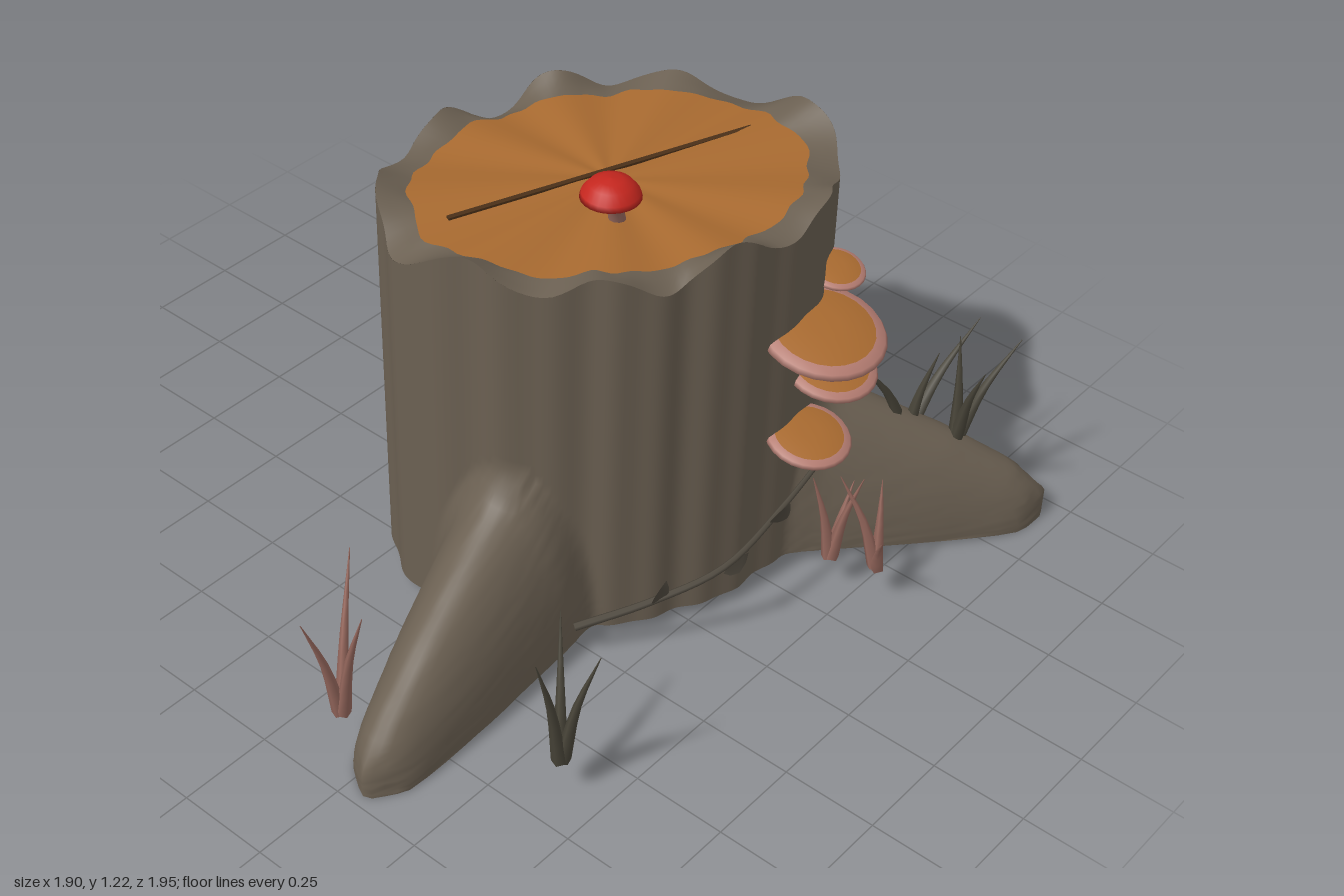
import * as THREE from 'three';

const mat = (name, color, side = THREE.DoubleSide) => {
  const m = new THREE.MeshStandardMaterial({ color, side });
  m.name = name;
  return m;
};
const V = (x, y, z) => new THREE.Vector3(x, y, z);
const clamp = THREE.MathUtils.clamp, lerp = THREE.MathUtils.lerp;

// Trunk is a tilted ellipse around (CX, CZ)
const CX = 0.08, CZ = -0.16, TILT = -1.107, MAJOR = 0.575, MINOR = 0.44;
const roots = [[0.31, 0.97], [-0.95, -0.47], [0.94, -0.95]].map(([x, z]) => ({
  angle: Math.atan2(z - CZ, x - CX), length: Math.hypot(x - CX, z - CZ),
}));

function trunkRadius(a) {
  const c = Math.cos(a - TILT) / MAJOR, s = Math.sin(a - TILT) / MINOR;
  return 1 / Math.hypot(c, s) + 0.006 * Math.sin(a * 11) + 0.004 * Math.sin(a * 23 + 1);
}

// piecewise-linear lookup
function profile(points, t) {
  for (let i = 1; i < points.length; i++) {
    const [t0, a] = points[i - 1], [t1, b] = points[i];
    if (t <= t1) return lerp(a, b, clamp((t - t0) / (t1 - t0), 0, 1));
  }
  return points[points.length - 1][1];
}
const HEIGHT = [[0, 0.53], [0.12, 0.45], [0.6, 0.28], [0.86, 0.17], [1, 0.08]];
const WIDTH = [[0, 0.19], [0.5, 0.14], [0.8, 0.1], [0.9, 0.08], [1, 0.015]];

// How far a root reaches along a ray at height y
function rootReach(root, a, y) {
  const d = Math.atan2(Math.sin(a - root.angle), Math.cos(a - root.angle));
  if (Math.abs(d) > 0.8) return 0;
  for (let r = root.length + 0.02; r > 0.3; r -= 0.004) {
    const s = r * Math.cos(d);
    if (s > root.length) continue;
    const t = (s - 0.5) / (root.length - 0.5), k = y / profile(HEIGHT, t);
    if (k < 1 && Math.abs(r * Math.sin(d)) < profile(WIDTH, t) * Math.sqrt(1 - k * k)) return r;
  }
  return 0;
}

function barkRadius(a, y) {
  let r = trunkRadius(a);
  if (y > 0.6) return r;
  for (const root of roots) {
    const q = rootReach(root, a, y), h = Math.max(0.06 - Math.abs(r - q), 0) / 0.06;
    r = Math.max(r, q) + h * h * 0.015;
  }
  return r;
}
const rimHeight = (a) => 1.08 + 0.035 * Math.sin(9 * a) + 0.016 * Math.sin(5 * a + 1);
const woodHeight = (a, t) => 1.075 + 0.008 * t * Math.sin(9 * a);

// Closed loops of points joined into a smooth surface
function ringSurface(n, rows, point) {
  const pos = [], idx = [];
  for (let j = 0; j <= rows; j++)
    for (let i = 0; i < n; i++) pos.push(...point((i / n) * Math.PI * 2, j / rows));
  for (let j = 0; j < rows; j++)
    for (let i = 0; i < n; i++) {
      const k = (i + 1) % n, a = j * n + i, b = j * n + k;
      idx.push(a, a + n, b, b, a + n, b + n);
    }
  const g = new THREE.BufferGeometry();
  g.setAttribute('position', new THREE.Float32BufferAttribute(pos, 3));
  g.setIndex(idx);
  g.computeVertexNormals();
  return g;
}
const polar = (a, r, y) => [CX + r * Math.cos(a), y, CZ + r * Math.sin(a)];

// Tube along a curve that thins from r0 to r1
function taperTube(points, r0, r1, segs = 6, sides = 5) {
  const curve = new THREE.CatmullRomCurve3(points);
  const g = new THREE.TubeGeometry(curve, segs, 1, sides, false);
  const p = g.attributes.position, v = V(0, 0, 0);
  for (let j = 0; j <= segs; j++) {
    const c = curve.getPointAt(j / segs), r = lerp(r0, r1, j / segs);
    for (let i = 0; i <= sides; i++) {
      const k = j * (sides + 1) + i;
      v.fromBufferAttribute(p, k).sub(c).multiplyScalar(r).add(c);
      p.setXYZ(k, v.x, v.y, v.z);
    }
  }
  return g;
}

export function createModel() {
  const model = new THREE.Group();
  const bark = mat('bark', 0x6b6052), wood = mat('cut wood', 0xa86a30);
  const pink = mat('fungus pink', 0xb57d72), red = mat('cap red', 0xc4261e);
  const dark = mat('dark grass', 0x4b473b), rosy = mat('rosy grass', 0x996a5f);
  const vineMat = mat('vine', 0x4f493f), crackMat = mat('crack', 0x4a3018);
  const add = (name, geo, material, parent = model) => {
    const m = new THREE.Mesh(geo, material);
    m.name = name;
    parent.add(m);
    return m;
  };

  // Hollow bark shell with three flaring roots
  add('barkAndRoots', ringSurface(320, 48, (a, v) => {
    const y = rimHeight(a) * Math.pow(v, 1.7), r = barkRadius(a, y);
    const lift = 0.04 * (1 - clamp((r - 0.5) / 0.6, 0, 1)) * Math.pow(1 - v, 5);
    return polar(a, r, y + lift);
  }), bark);
  const edge = (a) => 0.865 + 0.008 * Math.sin(a * 17) + 0.006 * Math.sin(a * 31);
  add('barkRim', ringSurface(160, 3, (a, v) =>
    polar(a, trunkRadius(a) * lerp(1, edge(a), v), lerp(rimHeight(a), woodHeight(a, 1), v))), bark);
  add('cutTop', ringSurface(160, 6, (a, v) =>
    polar(a, trunkRadius(a) * edge(a) * (1 - v), woodHeight(a, 1 - v))), wood);

  // Crack across the cut
  const crack = add('crack', new THREE.BoxGeometry(0.014, 0.006, 0.84), crackMat);
  crack.position.set(0.05, 1.077, -0.17);
  crack.rotation.y = -0.35;

  // Toadstool on the cut
  const toadstool = new THREE.Group();
  toadstool.name = 'toadstool';
  model.add(toadstool);
  add('stem', taperTube([V(0.2, 1.06, -0.045), V(0.205, 1.11, -0.03), V(0.215, 1.175, 0)],
    0.022, 0.016, 8, 10), rosy, toadstool);
  const capProfile = [[0.0, 0.008], [0.05, 0.006], [0.074, 0], [0.07, 0.014], [0.052, 0.036],
    [0.028, 0.047], [0, 0.05]].map(([x, y]) => new THREE.Vector2(x, y));
  add('cap', new THREE.LatheGeometry(capProfile, 24), red, toadstool).position.set(0.215, 1.165, 0);

  // Shelf fungi: pink bowl, wood-coloured top
  const bowl = [[0, -0.3], [0.5, -0.27], [0.85, -0.16], [1, 0], [0.95, 0.08], [0.8, 0.13]];
  const lid = [[0.8, 0.13], [0.55, 0.19], [0.25, 0.21], [0, 0.21]];
  const lathe = (pts) => new THREE.LatheGeometry(pts.map(([x, y]) => new THREE.Vector2(x, y)), 24);
  [[0.59, 0.755, -0.36, 0.16], [0.575, 0.6, -0.43, 0.12], [0.6, 0.46, -0.32, 0.11],
    [0.52, 0.835, -0.5, 0.075]].forEach(([x, y, z, r]) => {
    const shelf = new THREE.Group();
    shelf.name = 'shelfFungus';
    add('shelfBowl', lathe(bowl), pink, shelf);
    add('shelfTop', lathe(lid), wood, shelf);
    shelf.position.set(x, y, z);
    shelf.rotation.set(0.05, 0, -0.2);
    shelf.scale.set(r, r * 0.95, r);
    model.add(shelf);
  });

  // Grass clumps: base, then blade tips relative to it
  const clump = (material, [x, y, z], tips) => {
    const g = new THREE.Group();
    g.name = 'grassClump';
    tips.forEach(([dx, dy, dz]) => add('blade', taperTube([V(x + dx * 0.06, y, z + dz * 0.06),
      V(x + dx * 0.4, y + dy * 0.5, z + dz * 0.4), V(x + dx, y + dy, z + dz)], 0.02, 0.001), material, g));
    model.add(g);
  };
  clump(rosy, [0.15, 0.11, 0.88], [[-0.09, 0.37, -0.14], [0.11, 0.38, 0.02], [-0.01, 0.34, 0.1]]);
  clump(dark, [0.64, 0.11, 0.65], [[-0.1, 0.33, -0.11], [0.09, 0.36, -0.03], [0.02, 0.39, 0.11]]);
  clump(dark, [-0.53, 0.11, -0.14], [[-0.14, 0.47, -0.13], [0.05, 0.45, 0.2], [-0.04, 0.28, -0.06]]);
  clump(rosy, [0.69, 0.11, -0.33], [[-0.05, 0.25, 0.03], [0.06, 0.27, -0.03], [0, 0.2, -0.08]]);
  clump(rosy, [0.8, 0.11, -0.38], [[-0.1, 0.27, 0.05], [0.06, 0.16, 0.08], [-0.04, 0.23, -0.05]]);
  clump(dark, [0.65, 0.28, -0.7], [[-0.06, 0.28, 0.17], [0.02, 0.22, -0.27], [0.04, 0.24, -0.05]]);
  clump(dark, [0.75, 0.27, -0.78], [[0.09, 0.27, 0.05], [-0.04, 0.28, -0.03], [0.06, 0.24, -0.17]]);

  // Vines with folded leaves
  const leafGeo = () => {
    const s = new THREE.Shape();
    s.moveTo(0, 0);
    s.quadraticCurveTo(0.045, 0.03, 0, 0.085);
    s.quadraticCurveTo(-0.045, 0.03, 0, 0);
    const g = new THREE.ShapeGeometry(s, 6), p = g.attributes.position;
    for (let i = 0; i < p.count; i++) p.setZ(i, Math.abs(p.getX(i)) * 0.5);
    g.computeVertexNormals();
    return g;
  };
  const vine = (points, leaves) => {
    const g = new THREE.Group();
    g.name = 'vine';
    add('vineStem', taperTube(points.map((p) => V(...p)), 0.011, 0.006, 24, 6), vineMat, g);
    leaves.forEach(([x, y, z, rx, ry, rz]) => {
      const leaf = add('leaf', leafGeo(), vineMat, g);
      leaf.position.set(x, y, z);
      leaf.rotation.set(rx, ry, rz);
    });
    model.add(g);
  };
  vine([[0.37, 0.1, 0.29], [0.5, 0.17, 0.15], [0.6, 0.24, 0], [0.61, 0.3, -0.22], [0.6, 0.37, -0.45]],
    [[0.5, 0.16, 0.15, 0.6, 1.2, -0.9], [0.6, 0.22, 0, -0.6, 1.3, -0.7],
      [0.61, 0.28, -0.17, 0.6, 1, -1], [0.6, 0.35, -0.4, -0.5, 1.4, -0.6]]);
  vine([[-0.41, 0.71, -0.36], [-0.3, 0.67, -0.52], [-0.15, 0.62, -0.64], [0.07, 0.53, -0.73]],
    [[-0.3, 0.67, -0.52, -0.9, 0.4, 0.6], [-0.14, 0.61, -0.64, -1.1, 0.3, 0.4],
      [0.04, 0.54, -0.72, -1, -0.3, -0.4]]);
  return model;
}
